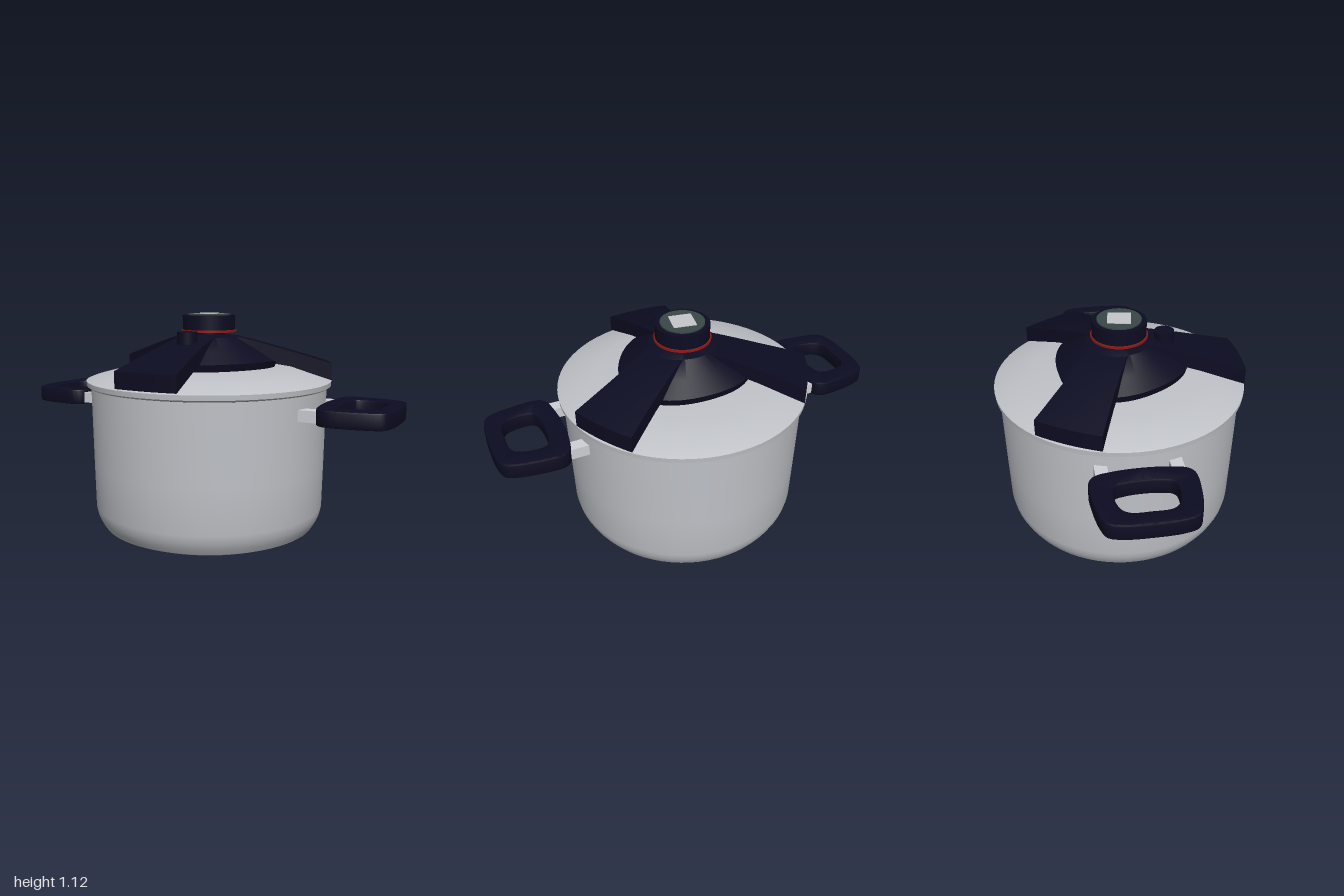
import * as THREE from 'three';
import { toCreasedNormals } from 'three/addons/utils/BufferGeometryUtils.js';

const flat = (name, color) => {
  const m = new THREE.MeshStandardMaterial({ color });
  m.name = name;
  return m;
};

export function createModel() {
  const steel = flat('steel', 0xbfc2c7);
  const bracketSteel = flat('bracket steel', 0xced1d6);
  const plastic = flat('dark plastic', 0x0c0c22);
  const red = flat('red', 0x8f1a18);
  const dialGreen = flat('dial green', 0x394846);
  const silver = flat('silver', 0xc6c8cb);

  const model = new THREE.Group();
  model.name = 'pressureCooker';

  const add = (name, geometry, material, parent = model) => {
    const mesh = new THREE.Mesh(geometry, material);
    mesh.name = name;
    parent.add(mesh);
    return mesh;
  };
  const lathe = (points, segments = 72, crease = 0.5) => toCreasedNormals(
    new THREE.LatheGeometry(points.map(([r, y]) => new THREE.Vector2(r, y)), segments), crease);
  const disc = (name, radius, y0, y1, material) =>
    add(name, new THREE.CylinderGeometry(radius, radius, y1 - y0, 48), material).position.y = (y0 + y1) / 2;

  // Pot body and lid
  add('potBody', lathe([[0, 0], [0.46, 0], [0.515, 0.008], [0.556, 0.026], [0.574, 0.055],
    [0.59, 0.09], [0.598, 0.13], [0.602, 0.35], [0.608, 0.75]]), steel);
  add('lid', lathe([[0.59, 0.75], [0.618, 0.752], [0.629, 0.76], [0.631, 0.784], [0.6, 0.796],
    [0.51, 0.82], [0.43, 0.835], [0, 0.838]]), steel);

  // Lid hub, drawn out a little towards its three arms
  const hub = lathe([[0, 0.838], [0.26, 0.843], [0.325, 0.85], [0.335, 0.885], [0.25, 0.945],
    [0.165, 1.003], [0.08, 1.014], [0, 1.018]]);
  const hp = hub.attributes.position;
  for (let i = 0; i < hp.count; i++) {
    const x = hp.getX(i), z = hp.getZ(i), r = Math.hypot(x, z);
    const k = 1 + 0.055 * Math.cos(3 * Math.atan2(x, z)) * THREE.MathUtils.smoothstep(r, 0.16, 0.3);
    hp.setX(i, x * k);
    hp.setZ(i, z * k);
  }
  hub.computeVertexNormals();
  add('lidHub', toCreasedNormals(hub, 0.5), plastic);

  // Sloping, flared arms: z, half width, bottom, top at each station
  const stations = [[0.1, 0.1, 0.9, 1.003], [0.17, 0.1, 0.92, 1.0], [0.28, 0.112, 0.9, 0.972],
    [0.4, 0.128, 0.864, 0.938], [0.52, 0.147, 0.823, 0.903], [0.622, 0.165, 0.79, 0.872]];
  const armBox = new THREE.BoxGeometry(2, 1, 1, 8, 1, stations.length - 1);
  const ap = armBox.attributes.position;
  for (let i = 0; i < ap.count; i++) {
    const u = ap.getX(i);
    const [z, half, low, high] = stations[Math.round((ap.getZ(i) + 0.5) * (stations.length - 1))];
    ap.setXYZ(i, u * half, ap.getY(i) > 0 ? high : low, z - 0.012 * u * u);
  }
  armBox.computeVertexNormals();
  const armGeometry = toCreasedNormals(armBox, 0.5);
  ['frontArm', 'backLeftArm', 'backRightArm'].forEach((name, i) => {
    add(name, armGeometry, plastic).rotation.y = i * Math.PI * 2 / 3;
  });

  // Pressure button on the front arm
  add('pressureButton', new THREE.CylinderGeometry(0.05, 0.05, 0.1, 24), plastic).position.set(0, 0.985, 0.225);

  // Control knob
  disc('knobNeck', 0.08, 1.0, 1.03, plastic);
  disc('redRing', 0.142, 1.025, 1.037, red);
  disc('knob', 0.135, 1.037, 1.11, plastic);
  disc('dial', 0.11, 1.105, 1.117, dialGreen);
  const plate = add('dialPlate', new THREE.BoxGeometry(0.115, 0.004, 0.115), silver);
  plate.position.y = 1.118;
  plate.rotation.y = -0.16;

  // Looped side handles, outline given for one half and mirrored
  const loop = (half) => {
    const mirrored = half.slice().reverse().filter(([, z]) => z > 0).map(([x, z]) => [x, -z]);
    const points = [...half, ...mirrored].map(([x, z]) => new THREE.Vector3(x, z, 0));
    return new THREE.CatmullRomCurve3(points, true, 'centripetal').getPoints(80)
      .slice(0, -1).map((p) => new THREE.Vector2(p.x, p.y));
  };
  const outline = new THREE.Shape(loop([[1, 0], [0.995, 0.12], [0.975, 0.19], [0.94, 0.212],
    [0.82, 0.236], [0.7, 0.238], [0.665, 0.21], [0.645, 0.13], [0.636, 0]]));
  outline.holes.push(new THREE.Path(loop([[0.92, 0], [0.915, 0.09], [0.885, 0.125],
    [0.79, 0.143], [0.75, 0.13], [0.734, 0.08], [0.728, 0]])));
  const handleGeometry = toCreasedNormals(new THREE.ExtrudeGeometry(outline, {
    depth: 0.064, bevelThickness: 0.008, bevelSize: 0.008, bevelOffset: -0.008, bevelSegments: 2,
  }).rotateX(-Math.PI / 2).translate(0, 0.633, 0), 0.6);

  for (const side of ['left', 'right']) {
    const group = new THREE.Group();
    group.name = side + 'Handle';
    group.rotation.y = side === 'left' ? 0 : Math.PI;
    add(side + 'HandleGrip', handleGeometry, plastic, group);
    // Two steel brackets join the grip to the pot
    for (const s of [-1, 1]) {
      add(side + 'Bracket', new THREE.BoxGeometry(0.13, 0.056, 0.06), bracketSteel, group)
        .position.set(0.605, 0.662, s * 0.172);
    }
    model.add(group);
  }
  return model;
}
